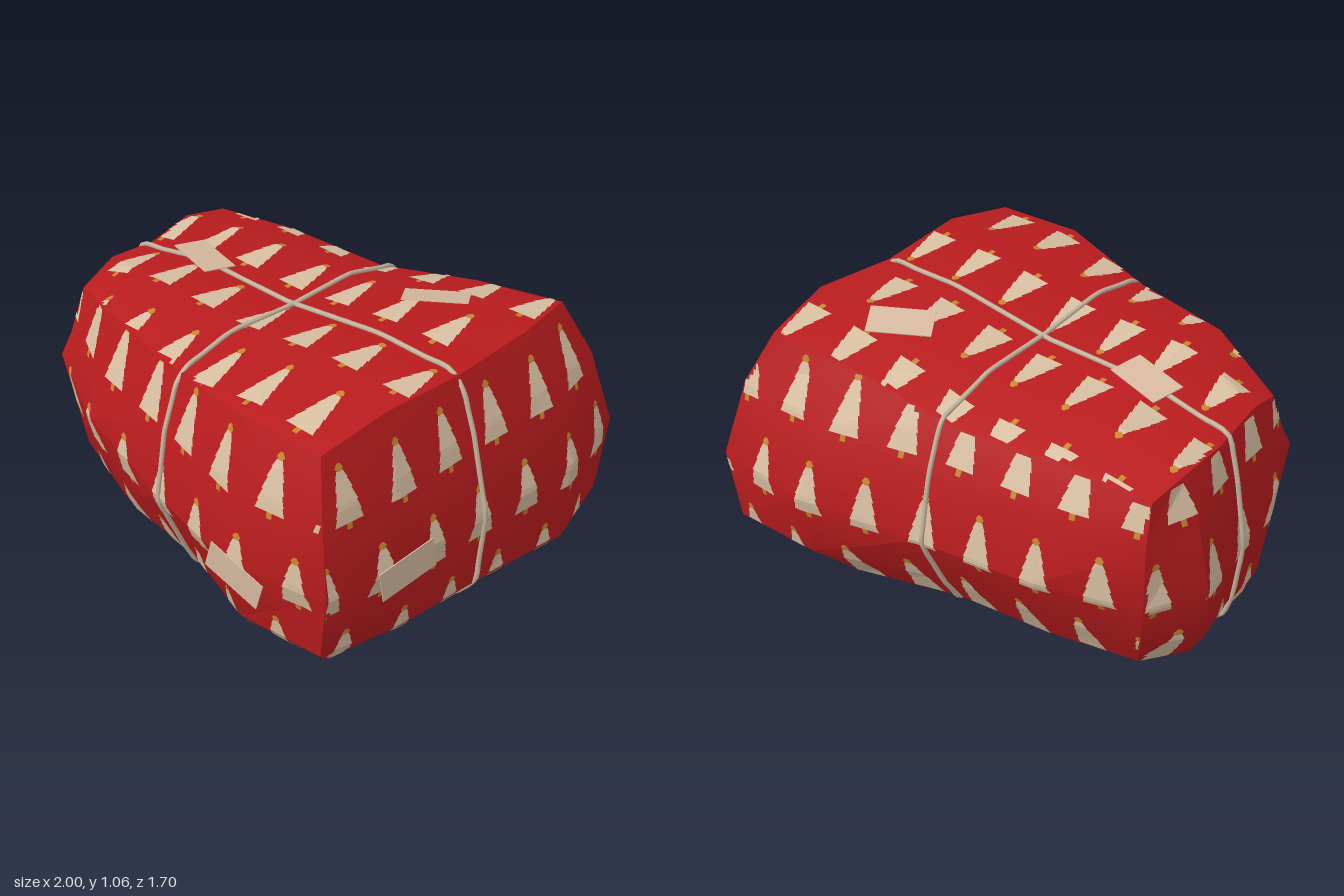
import * as THREE from 'three';
import { toCreasedNormals } from 'three/addons/utils/BufferGeometryUtils.js';

const flat = (name, color) => {
  const m = new THREE.MeshStandardMaterial({ color });
  m.name = name;
  return m;
};
const lerp = THREE.MathUtils.lerp;
const V = (x, y, z) => new THREE.Vector3(x, y, z);

// Lumpy box lattice: T spaces the points, each level gives its corners and side bulges
const T = [0, 0.22, 0.5, 0.77, 1];
const HEIGHT = [0, 0.12, 0.45, 0.78, 1];
const TOP = [0.865, 0.95, 0.955, 1.017, 1.015];
const RIDGE = [0, 0.05, 0.015, 0.038, 0];
const SAG = [0, 0.055, 0.075, 0.045, 0];
const BOTTOM = [0.06, 0.042, 0.032, 0.04, 0.045];
// Bulge profiles; the twine pinches the lower half of the front and back
const ROUND = {
  front: [0, 0.85, 0.85, 1, 0], frontLow: [0, 0.6, 0.35, 1, 0],
  back: [0, 0.7, 0.45, 1, 0], backLow: [0, 0.1, -0.4, 1, 0],
  end: [0, 0.6, 0.7, 1, 0],
};
const LEVELS = [
  // front -x corner, front +x, back +x, back -x, bulges: front, back, -x end, +x end
  { c: [-0.78, 0.36, 0.71, 0.59, 0.77, -0.66, -0.78, -0.4], b: [0.09, 0.05, 0.11, 0.07] },
  { c: [-0.79, 0.4, 0.77, 0.68, 0.9, -0.79, -0.84, -0.47], b: [0.1, 0.07, 0.15, 0.115] },
  { c: [-0.84, 0.46, 0.83, 0.72, 0.91, -0.83, -0.88, -0.52], b: [0.145, 0.09, 0.13, 0.1] },
  { c: [-0.83, 0.41, 0.79, 0.7, 0.84, -0.75, -0.88, -0.52], b: [0.12, 0.05, 0.08, 0.06] },
  { c: [-0.82, 0.34, 0.73, 0.645, 0.74, -0.67, -0.87, -0.48], b: [0.09, 0, 0.03, 0.06] },
];

function lattice(i, k, j) {
  const { c, b } = LEVELS[k];
  const low = k < 2 ? 'Low' : '';
  const x0 = lerp(c[0], c[6], T[j]) - b[2] * ROUND.end[j];
  const x1 = lerp(c[2], c[4], T[j]) + b[3] * ROUND.end[j];
  const z0 = lerp(c[1], c[3], T[i]) + b[0] * ROUND['front' + low][i];
  const z1 = lerp(c[7], c[5], T[i]) - b[1] * ROUND['back' + low][i];
  const top = TOP[i] + RIDGE[j] - SAG[i] * [0, 0, 0, 0.4, 1][j];
  const bottom = BOTTOM[i] - (j > 0 && j < 4 ? 0.012 : 0);
  // The widest line rises toward the front -x corner, the lower fold toward the back one
  let height = HEIGHT[k];
  if (k === 1) height += 0.08 * (1 - T[i]) * T[j];
  if (k === 2) height += 0.22 * Math.max(0, 1 - 1.8 * T[i] - 1.8 * T[j]);
  return V(lerp(x0, x1, T[i]), lerp(bottom, top, height), lerp(z0, z1, T[j]));
}

// Each side: lattice lookup, viewed-right and viewed-up axes, first pattern row, pattern shift
const SIDES = [
  { name: 'front', at: (a, b) => lattice(a, b, 0), r: V(1, 0, 0), u: V(0, 1, 0), row: 0.018, shift: -0.01 },
  { name: 'left', at: (a, b) => lattice(4, b, a), r: V(0, 0, -1), u: V(0, 1, 0), row: 0.018, shift: 0.002 },
  { name: 'back', at: (a, b) => lattice(4 - a, b, 4), r: V(-1, 0, 0), u: V(0, 1, 0), row: 0.018, shift: 0.01 },
  { name: 'right', at: (a, b) => lattice(0, b, 4 - a), r: V(0, 0, 1), u: V(0, 1, 0), row: 0.018, shift: -0.002 },
  { name: 'top', at: (a, b) => lattice(a, 4, b), r: V(1, 0, 0), u: V(0, 0, -1), row: -0.62, shift: -0.01 },
  { name: 'bottom', at: (a, b) => lattice(4 - a, 0, b), r: V(-1, 0, 0), u: V(0, 0, -1), row: -0.62, shift: 0.01 },
];

function sideGeometry(at) {
  const pos = [], index = [];
  for (let b = 0; b < 5; b++) for (let a = 0; a < 5; a++) pos.push(...at(a, b).toArray());
  for (let b = 0; b < 4; b++) for (let a = 0; a < 4; a++) {
    const n = b * 5 + a;
    index.push(n, n + 1, n + 6, n, n + 6, n + 5);
  }
  const g = new THREE.BufferGeometry();
  g.setAttribute('position', new THREE.Float32BufferAttribute(pos, 3));
  g.setIndex(index);
  return toCreasedNormals(g, 0.5);
}

// Tree bands: start height, half width, end height, half width
const TREE = [
  [0.027, 0.061, 0.062, 0.05], [0.062, 0.055, 0.105, 0.04], [0.105, 0.046, 0.152, 0.03],
  [0.152, 0.036, 0.19, 0.022], [0.19, 0.026, 0.22, 0.013],
];
const TRIM = [[0.002, 0.011, 0.027, 0.011], [0.217, 0.008, 0.231, 0.017], [0.231, 0.017, 0.247, 0.006]];

export function createModel() {
  const group = new THREE.Group();
  const paper = flat('redPaper', 0xba1c1e);
  const cream = flat('creamPrint', 0xd8bfa2);
  const gold = flat('goldPrint', 0xc4862c);
  const twine = flat('twine', 0xc4b49c);
  const tagPaper = flat('tagPaper', 0xd6baa0);
  const add = (name, geo, mat) => {
    const m = new THREE.Mesh(geo, mat);
    m.name = name;
    group.add(m);
    return m;
  };

  const ray = new THREE.Raycaster();
  const cast = (targets, origin, dir) => {
    ray.set(origin, dir);
    return ray.intersectObjects(targets, false)[0];
  };
  // Drops a point of a side's plane onto the paper, slightly raised
  const project = (side, u, v, lift) => {
    const n = side.r.clone().cross(side.u);
    const origin = n.clone().multiplyScalar(3).addScaledVector(side.r, u).addScaledVector(side.u, v);
    const hit = cast([side.mesh], origin, n.negate());
    return hit && { point: hit.point.addScaledVector(hit.face.normal, lift), normal: hit.face.normal };
  };

  for (const side of SIDES) side.mesh = add(side.name + 'Paper', sideGeometry(side.at), paper);

  // Printed trees, cut off at the folds
  function printBands(side, bands) {
    const pos = [];
    for (let r = 0; r < 5; r++) for (let n = -5; n <= 5; n++) {
      const u0 = side.shift + (n + (r % 2 ? 0 : 0.5)) * 0.2375, v0 = side.row + r * 0.353;
      for (const [va, wa, vb, wb] of bands) for (let s = 0; s < 2; s++) for (let q = 0; q < 6; q++) {
        const corner = (dq, ds) => {
          const t = (s + ds) / 2;
          return project(side, u0 + ((q + dq) / 3 - 1) * lerp(wa, wb, t), v0 + lerp(va, vb, t), 0.003);
        };
        const quad = [corner(0, 0), corner(1, 0), corner(1, 1), corner(0, 1)];
        if (quad.every(Boolean)) for (const k of [0, 1, 2, 0, 2, 3]) pos.push(...quad[k].point.toArray());
      }
    }
    const g = new THREE.BufferGeometry();
    g.setAttribute('position', new THREE.Float32BufferAttribute(pos, 3));
    g.computeVertexNormals();
    return g;
  }
  for (const side of SIDES) {
    add(side.name + 'Trees', printBands(side, TREE), cream);
    add(side.name + 'StarsAndTrunks', printBands(side, TRIM), gold);
  }

  // Two loops of twine pulled around the parcel
  const sides = SIDES.map((s) => s.mesh);
  const loop = (name, along, centre) => {
    const pts = [];
    for (let n = 0; n < 72; n++) {
      const a = (n / 72) * Math.PI * 2 + 0.01;
      const out = along.clone().multiplyScalar(Math.cos(a)).add(V(0, Math.sin(a), 0));
      const hit = cast(sides, centre.clone().addScaledVector(out, 3), out.clone().negate());
      if (hit) pts.push(hit.point.addScaledVector(hit.face.normal, 0.006));
    }
    const path = new THREE.CatmullRomCurve3(pts, true);
    add(name, new THREE.TubeGeometry(path, 160, 0.01, 6, true), twine);
  };
  loop('crosswiseTwine', V(0, 0, 1), V(-0.013, 0.5, 0));
  loop('lengthwiseTwine', V(1, 0, 0), V(0, 0.5, -0.013));

  // Small paper tags: two upright beside the parcel, two resting on top
  const placeTag = (name, { point, normal }, right, turn) => {
    const tag = add(name, new THREE.BoxGeometry(0.25, 0.135, 0.004), tagPaper);
    const across = right.clone().addScaledVector(normal, -right.dot(normal)).normalize();
    tag.quaternion.setFromRotationMatrix(
      new THREE.Matrix4().makeBasis(across, normal.clone().cross(across), normal));
    tag.rotateZ(turn);
    tag.position.copy(point);
  };
  const [front, left, , , top] = SIDES;
  placeTag('frontTag', { point: V(0.5, 0.48, 0.835), normal: V(0.03, -0.05, 1).normalize() }, front.r, -0.3);
  placeTag('leftTag', { point: V(0.925, 0.485, 0.4), normal: V(1, 0, 0.14).normalize() }, left.r, 0.16);
  placeTag('topTag', project(top, 0.4, 0.345, 0.008), top.r, 0.56);
  placeTag('twineTag', project(top, -0.5, 0.015, 0.022), top.r, -0.27);
  return group;
}
